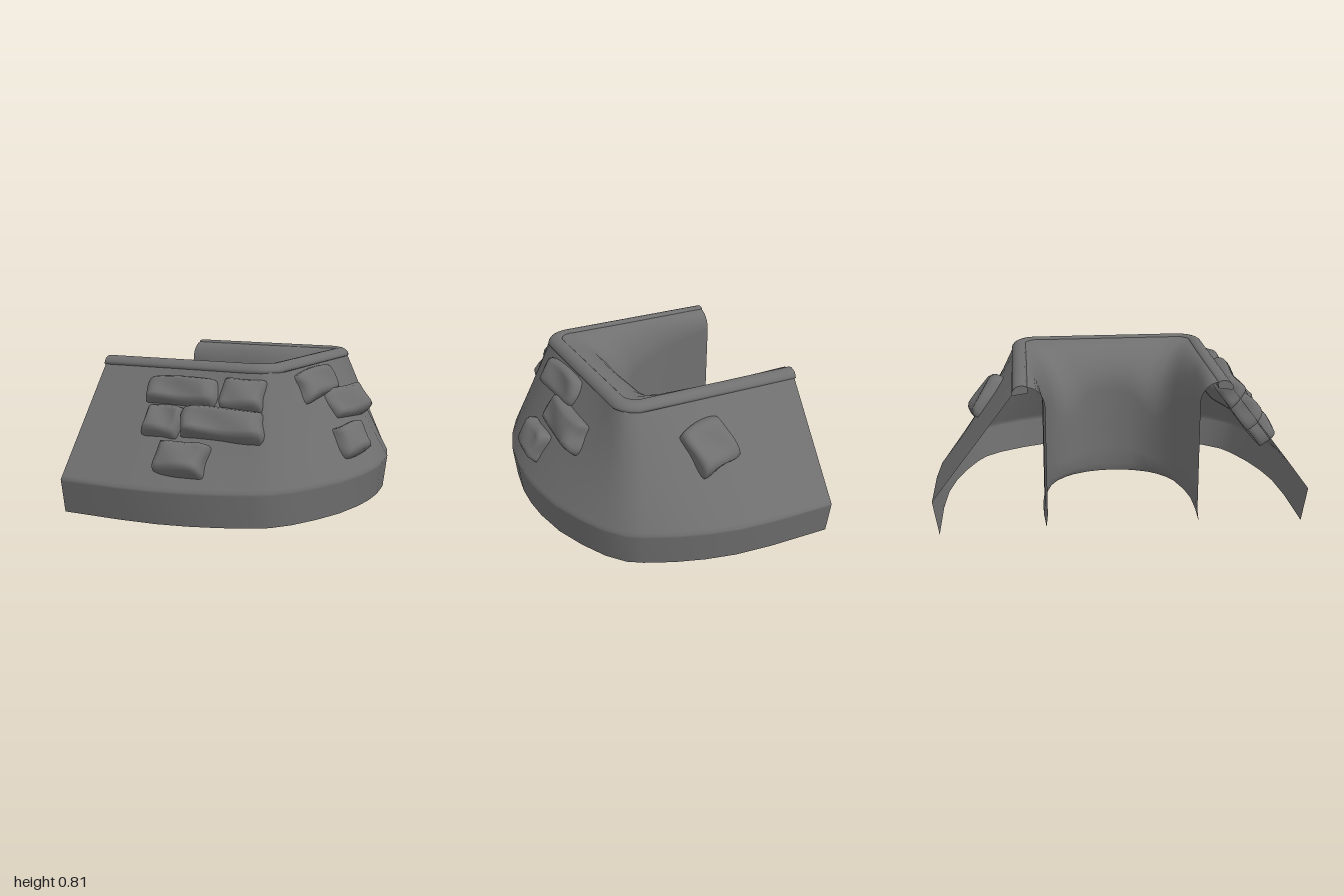
import * as THREE from 'three';
import { mergeVertices } from 'three/addons/utils/BufferGeometryUtils.js';

const material = new THREE.MeshStandardMaterial({ color: 0x707070, side: THREE.DoubleSide });

// Half outlines as [x, z], from the open end to the middle of the curved end
const OUTER = [[-.7, 1], [-.35, 1], [-.13, .985], [.04, .95], [.2, .9], [.36, .83],
  [.44, .78], [.52, .68], [.595, .53], [.66, .35], [.695, .15], [.703, 0]];
const OUTER_TOP = [[-.7, .56], [-.45, .56], [-.25, .56], [-.05, .56], [.1, .56], [.25, .56],
  [.32, .53], [.35, .46], [.35, .36], [.35, .25], [.35, .12], [.35, 0]];
const INNER_TOP = [[-.7, .5], [-.45, .5], [-.25, .5], [-.1, .5], [.05, .5], [.19, .5],
  [.265, .475], [.29, .4], [.29, .3], [.29, .2], [.29, .1], [.29, 0]];
const INNER_BASE = [[-.7, .4], [-.55, .41], [-.4, .41], [-.28, .39], [-.15, .35], [-.09, .31],
  [-.04, .26], [0, .21], [.02, .17], [.04, .13], [.055, .06], [.06, 0]];

// Mirror a half outline across z = 0 into a full U, and place outlines at a height
const mirrorU = (half) => [...half, ...half.slice(0, -1).reverse().map(([x, z]) => [x, -z])];
const mix = (a, b, t) => a.map(([x, z], i) => [x + (b[i][0] - x) * t, z + (b[i][1] - z) * t]);
const level = (half, y) => mirrorU(half).map(([x, z]) => [x, y, z]);

// Skin a surface over rows of [x, y, z] points
function loft(rows) {
  const index = [], n = rows[0].length;
  for (let j = 0; j < rows.length - 1; j++) {
    for (let i = 0; i < n - 1; i++) {
      const a = j * n + i, b = a + 1, c = a + n, d = c + 1;
      index.push(a, b, c, b, d, c);
    }
  }
  const geometry = new THREE.BufferGeometry();
  geometry.setAttribute('position', new THREE.Float32BufferAttribute(rows.flat(2), 3));
  geometry.setIndex(index);
  geometry.computeVertexNormals();
  return geometry;
}

// Inner wall: a quarter-round roll as deep as the wall is inset, then a straight drop
function innerWallRows() {
  const top = mirrorU(INNER_TOP), base = mirrorU(INNER_BASE);
  const row = (inset, height) => top.map(([x, z], i) => {
    const dx = base[i][0] - x, dz = base[i][1] - z;
    const rollEnd = .795 - 1.1 * Math.hypot(dx, dz);
    return [x + dx * inset, height(rollEnd), z + dz * inset];
  });
  const rows = [];
  for (let k = 0; k <= 8; k++) {
    const a = k / 8 * Math.PI / 2;
    rows.push(row(Math.sin(a), (end) => end + (.795 - end) * Math.cos(a)));
  }
  for (const t of [.35, .7, .9]) rows.push(row(1, (end) => end + (.02 - end) * t));
  rows.push(row(.92, () => .02));
  return rows;
}

// Rounded U at an inward offset d from the rim's outer edge
function rimOutline(d) {
  const X = .36 - d, Z = .57 - d, r = .14 - .8 * d;
  const half = [[-.705, Z], [-.2, Z]];
  for (let i = 0; i <= 8; i++) {
    const a = i / 8 * Math.PI / 2;
    half.push([X - r + r * Math.sin(a), Z - r + r * Math.cos(a)]);
  }
  half.push([X, 0]);
  return half;
}

// Worn stone block: trimmed corners, bevelled front edges and a slightly uneven face
function stoneGeometry(w, h, d, seed) {
  let g = new THREE.BoxGeometry(2, 2, 2, 14, 10, 4);
  g.deleteAttribute('uv');
  g.deleteAttribute('normal');
  g = mergeVertices(g);
  const p = g.attributes.position;
  for (let i = 0; i < p.count; i++) {
    const x = p.getX(i), y = p.getY(i), z = p.getZ(i);
    const front = (z + 1) / 2;
    const wave = (a, b, c) => Math.sin(a * x + b * y + c * z + seed * 2.3);
    const px = x * (1 - .05 * y ** 6 - .06 * front ** 3) + .04 * wave(0, 2.6, 1);
    const py = y * (1 - .07 * x ** 6 - .12 * front ** 3) + .06 * wave(2.3, 0, 1);
    const edge = Math.max(Math.abs(x) ** 12, Math.abs(y) ** 10);
    const pz = z - front * (.3 * edge + .12 * (1 + wave(2.6, 1.8, 0)));
    p.setXYZ(i, px * w / 2, py * h / 2, pz * d / 2);
  }
  g.computeVertexNormals();
  return g;
}

export function createModel() {
  const model = new THREE.Group();
  const add = (name, geometry, parent = model) => {
    const mesh = new THREE.Mesh(geometry, material);
    mesh.name = name;
    parent.add(mesh);
    return mesh;
  };

  // Outer wall: a foot leaning outward, a soft crease, then a long slope to the rim
  const foot = OUTER.map(([x, z]) => [x > 0 ? x * .967 : x, z * .97]);
  add('outerWall', loft([
    ...[0, .5, .93, 1].map((t) => level(mix(foot, OUTER, t), .185 * t)),
    ...[.03, .25, .5, .75, 1].map((t) => level(mix(OUTER, OUTER_TOP, t), .185 + .58 * t)),
  ]));

  add('innerWall', loft(innerWallRows()));

  // Rounded rim along the top, with closed ends
  const rimProfile = [[.01, .755], [0, .762], [.003, .776], [.014, .791], [.03, .801],
    [.05, .806], [.072, .802], [.084, .79], [.08, .765], [.01, .755]];
  const rim = new THREE.Group();
  rim.name = 'rim';
  model.add(rim);
  add('rimMoulding', loft(rimProfile.map(([d, y]) => level(rimOutline(d), y))), rim);
  for (const side of [1, -1]) {
    const shape = new THREE.Shape(rimProfile.map(([d, y]) => new THREE.Vector2(side * (.57 - d), y)));
    const cap = add('rimEnd', new THREE.ShapeGeometry(shape), rim);
    cap.rotation.y = -Math.PI / 2;
    cap.position.x = -.705;
  }

  // Exposed stones: name, centre, size, yaw, backward tilt, roll
  const side = Math.PI / 2;
  const stones = [
    ['frontStone', [-.15, .645, .64], [.42, .17, .14], 0, .66, .03],
    ['frontStone', [.2, .642, .61], [.24, .19, .14], .22, .64, -.06],
    ['frontStone', [-.195, .495, .75], [.22, .19, .14], 0, .66, -.03],
    ['frontStone', [.13, .502, .715], [.45, .18, .15], .25, .64, -.06],
    ['frontStone', [-.03, .335, .865], [.28, .19, .14], .08, .64, -.03],
    ['sideStone', [.4, .665, .13], [.44, .18, .12], side, .55, .04],
    ['sideStone', [.49, .54, -.1], [.45, .19, .12], side - .06, .55, 0],
    ['sideStone', [.603, .36, .1], [.28, .19, .12], side - .12, .55, 0],
    ['backStone', [-.085, .57, -.725], [.25, .27, .09], Math.PI, .66, .3],
  ];
  stones.forEach(([name, centre, size, yaw, tilt, roll], i) => {
    const stone = add(name, stoneGeometry(...size, i + 1));
    stone.position.set(...centre);
    stone.rotation.set(-tilt, yaw, roll, 'YXZ');
  });

  return model;
}
